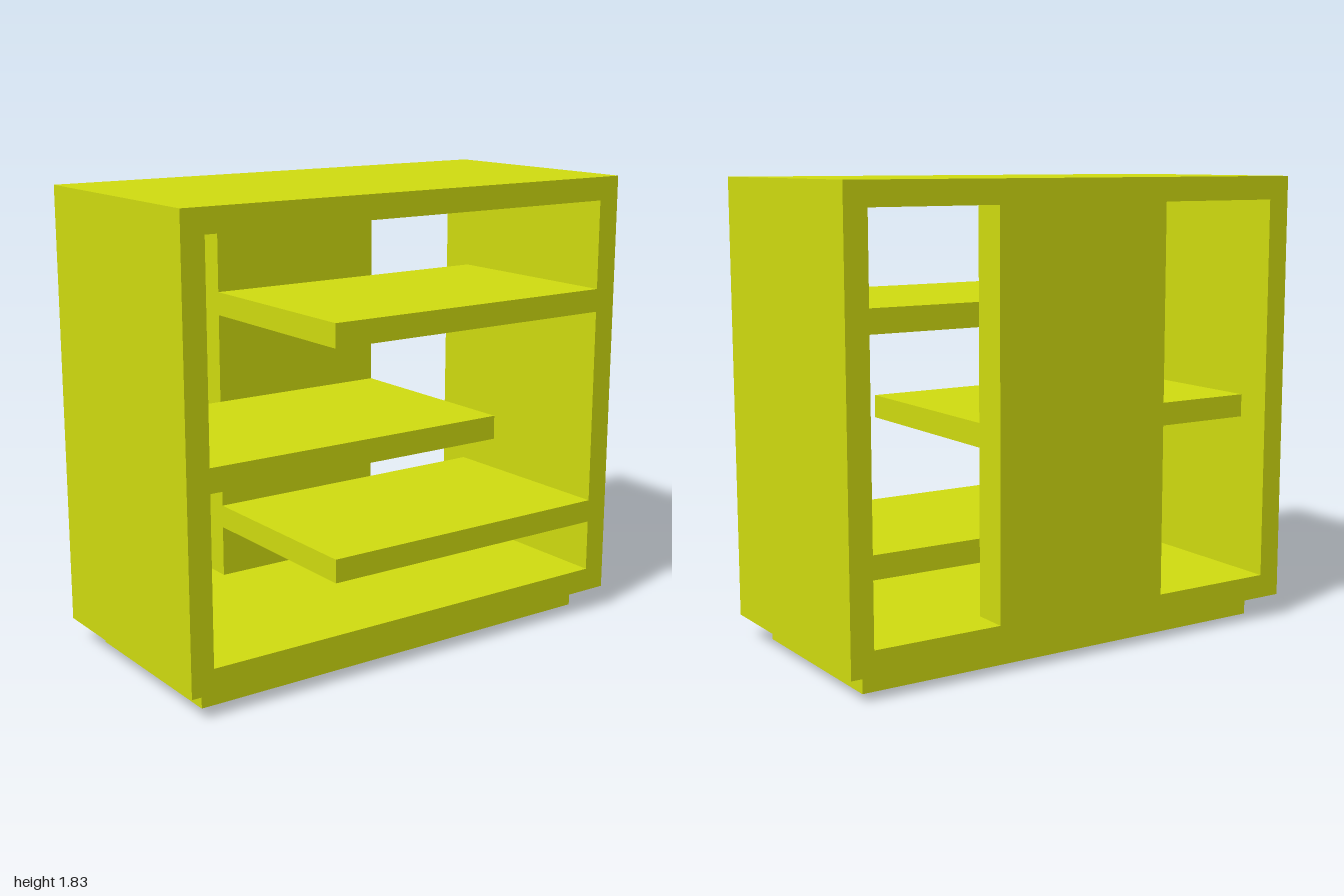
import * as THREE from 'three';

export function createModel() {
  const model = new THREE.Group();
  model.name = 'openShelfUnit';
  const material = new THREE.MeshStandardMaterial({ color: 0xd2de10 });

  const T = 0.093;            // board thickness
  const H = 1.83;             // overall height
  const D = 0.48;             // half depth
  const inner = 1 - T;        // half width inside the frame
  const panelHalf = 0.378;    // half width of the back panel
  const panelFront = -D + 0.144;

  // Box given by its extents on each axis
  function board(name, [x0, x1], [y0, y1], [z0, z1]) {
    const mesh = new THREE.Mesh(new THREE.BoxGeometry(x1 - x0, y1 - y0, z1 - z0), material);
    mesh.position.set((x0 + x1) / 2, (y0 + y1) / 2, (z0 + z1) / 2);
    mesh.name = name;
    model.add(mesh);
  }

  // Recessed plinth
  board('plinth', [-inner, inner], [0, T], [-0.385, 0.385]);

  // Outer frame: one rectangular ring, open front and back
  const outline = new THREE.Shape([
    new THREE.Vector2(-1, T), new THREE.Vector2(1, T),
    new THREE.Vector2(1, H), new THREE.Vector2(-1, H),
  ]);
  outline.holes.push(new THREE.Path([
    new THREE.Vector2(-inner, 2 * T + 0.003), new THREE.Vector2(-inner, H - T),
    new THREE.Vector2(inner, H - T), new THREE.Vector2(inner, 2 * T + 0.003),
  ]));
  const ring = new THREE.ExtrudeGeometry(outline, { depth: 2 * D, bevelEnabled: false });
  ring.translate(0, 0, -D);
  const frame = new THREE.Mesh(ring, material);
  frame.name = 'frame';
  model.add(frame);

  // Central back panel, flush with the back of the frame
  board('backPanel', [-panelHalf, panelHalf], [2 * T + 0.003, H - T], [-D, panelFront]);

  // Shelves reach from one side wall past the middle, alternating sides
  const shelves = [['lowerShelf', 0.398, 1], ['middleShelf', 0.838, -1], ['upperShelf', 1.288, 1]];
  for (const [name, y, side] of shelves) {
    const span = side > 0 ? [-panelHalf, inner] : [-inner, panelHalf];
    board(name, span, [y, y + T], [panelFront, D]);
  }

  return model;
}
